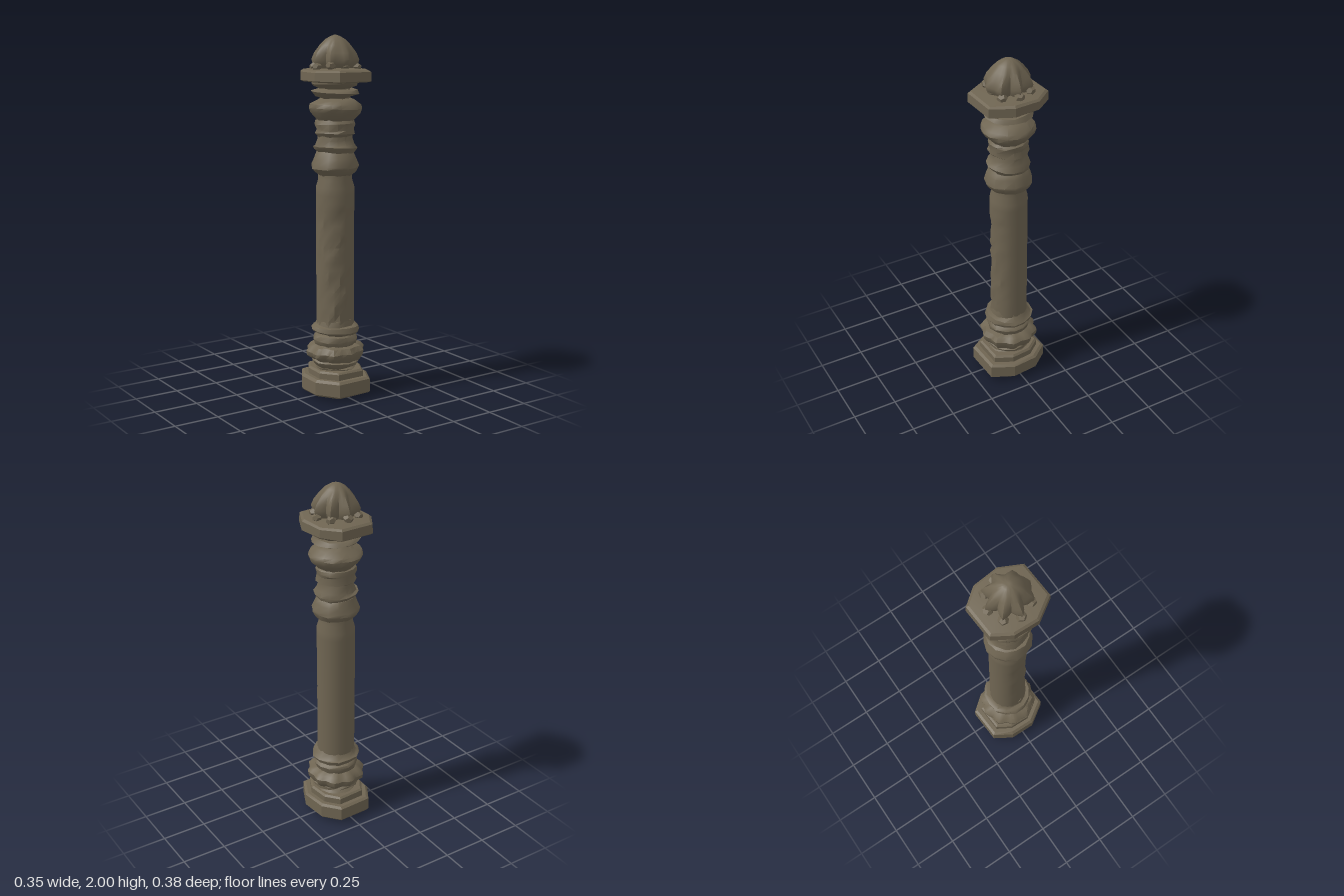
import * as THREE from 'three';
import { toCreasedNormals } from 'three/addons/utils/BufferGeometryUtils.js';

const stone = new THREE.MeshStandardMaterial({ color: 0x6f6552 });
stone.name = 'weathered stone';

// small seeded random source for the worn surfaces
let seed = 7;
const rand = () => {
  seed = (seed * 16807) % 2147483647;
  return seed / 2147483647;
};
const jitter = (amount) => (rand() - 0.5) * 2 * amount;

// skin a stack of closed rings; point(row, column) returns [x, y, z]
function loft(name, rows, cols, point, crease = 0.7) {
  const pos = [], index = [];
  for (let i = 0; i < rows; i++) for (let j = 0; j < cols; j++) pos.push(...point(i, j));
  for (let i = 0; i < rows - 1; i++) {
    for (let j = 0; j < cols; j++) {
      const a = i * cols + j, b = i * cols + (j + 1) % cols;
      index.push(a, b, b + cols, a, b + cols, a + cols);
    }
  }
  // end caps as fans about a centre point
  for (const [row, flip] of [[0, true], [rows - 1, false]]) {
    const centre = pos.length / 3, sum = [0, 0, 0];
    for (let j = 0; j < cols; j++) for (let k = 0; k < 3; k++) sum[k] += pos[(row * cols + j) * 3 + k] / cols;
    pos.push(...sum);
    for (let j = 0; j < cols; j++) {
      const a = row * cols + j, b = row * cols + (j + 1) % cols;
      index.push(centre, flip ? b : a, flip ? a : b);
    }
  }
  const geo = new THREE.BufferGeometry();
  geo.setAttribute('position', new THREE.Float32BufferAttribute(pos, 3));
  geo.setIndex(index);
  const mesh = new THREE.Mesh(toCreasedNormals(geo, crease), stone);
  mesh.name = name;
  return mesh;
}

// turned moulding from a [y, radius] profile, slightly tilted and chipped
function turned(name, profile, { cols = 14, wear = 0.004, tilt = 0.005, lobes = 0, depth = 0 } = {}) {
  const phase = profile.map(() => rand() * Math.PI * 2);
  return loft(name, profile.length, cols, (i, j) => {
    const a = (j / cols) * Math.PI * 2;
    const [y, r] = profile[i];
    const rr = r * (1 - depth * (0.5 - 0.5 * Math.cos(a * lobes))) + jitter(wear);
    return [Math.sin(a) * rr, y + tilt * Math.sin(a + phase[i]) + jitter(wear * 0.5), Math.cos(a) * rr];
  });
}

// uneven eight-sided slab outline as [x, z], running front to the +x side
const OUTLINE = [[-0.095, 0.188], [0.115, 0.178], [0.175, 0.055], [0.16, -0.095],
  [0.085, -0.19], [-0.11, -0.18], [-0.172, -0.078], [-0.175, 0.067]];
const slab = (name, rings) => loft(name, rings.length, 8, (i, j) => {
  const [y, s] = rings[i];
  return [OUTLINE[j][0] * s, y + jitter(0.003), OUTLINE[j][1] * s];
}, 0.3);

export function createModel() {
  seed = 7;
  const group = new THREE.Group();
  group.name = 'stonePillar';

  // foot
  group.add(slab('baseSlab', [[0.003, 0.3], [0.018, 0.94], [0.03, 1], [0.1, 1], [0.112, 0.92]]));
  group.add(slab('baseStep', [[0.1, 0.8], [0.145, 0.8], [0.155, 0.74]]));
  group.add(turned('baseNeck', [[0.14, 0.11], [0.155, 0.12], [0.165, 0.105], [0.18, 0.127], [0.195, 0.13], [0.21, 0.11]],
    { wear: 0.007 }));
  group.add(turned('petalRing', [[0.19, 0.1], [0.205, 0.14], [0.23, 0.163], [0.255, 0.168], [0.28, 0.148], [0.3, 0.1]],
    { cols: 40, lobes: 10, depth: 0.1, wear: 0.002 }));
  group.add(turned('lowerRing', [[0.28, 0.11], [0.295, 0.12], [0.32, 0.127], [0.338, 0.118], [0.35, 0.095], [0.36, 0.1]]));
  group.add(turned('shaftCollar', [[0.345, 0.09], [0.36, 0.13], [0.375, 0.138], [0.39, 0.128], [0.405, 0.108], [0.43, 0.1]],
    { tilt: 0.007 }));

  // shaft, worn on the front and the right-hand side
  const rows = 22, cols = 20;
  group.add(loft('shaft', rows, cols, (i, j) => {
    const a = (j / cols) * Math.PI * 2, t = i / (rows - 1);
    const worn = Math.max(0, Math.cos(a + 0.5)) * (t < 0.75 ? 1 : 0.3);
    const r = 0.106 - (t > 0.95 ? 0.012 : 0) - worn * rand() * 0.014;
    return [Math.sin(a) * r, 0.39 + t * 0.87, Math.cos(a) * r];
  }, 0.6));

  // stacked upper mouldings
  group.add(turned('upperBell', [[1.245, 0.09], [1.26, 0.115], [1.285, 0.131], [1.3, 0.129], [1.335, 0.116], [1.365, 0.104], [1.38, 0.09]]));
  group.add(turned('upperRing', [[1.36, 0.09], [1.38, 0.113], [1.395, 0.121], [1.41, 0.108], [1.44, 0.097], [1.475, 0.094]],
    { tilt: 0.008 }));
  group.add(turned('upperBand', [[1.455, 0.09], [1.47, 0.111], [1.495, 0.105], [1.52, 0.112], [1.535, 0.108], [1.555, 0.09]],
    { tilt: 0.006 }));
  group.add(turned('cushion', [[1.53, 0.088], [1.555, 0.108], [1.585, 0.138], [1.61, 0.147], [1.63, 0.138], [1.65, 0.108], [1.665, 0.075]],
    { cols: 18, tilt: 0.004 }));
  group.add(turned('capNeck', [[1.65, 0.08], [1.69, 0.075], [1.74, 0.08]]));
  group.add(turned('neckDisc', [[1.665, 0.07], [1.68, 0.11], [1.693, 0.133], [1.706, 0.12], [1.715, 0.075]], { tilt: 0.007, wear: 0.006 }));
  group.add(turned('capUnderside', [[1.712, 0.075], [1.73, 0.115], [1.742, 0.125], [1.765, 0.125]], { wear: 0.006 }));
  group.add(slab('capSlab', [[1.752, 0.95], [1.76, 1], [1.805, 0.99], [1.815, 0.92], [1.825, 0.5]]));

  // ribbed bud: deep grooves between eight ribs, fuller at the front
  const bud = [[1.815, 0.098], [1.845, 0.125], [1.87, 0.132], [1.905, 0.117], [1.945, 0.087], [1.975, 0.058], [1.993, 0.028], [2, 0.008]];
  group.add(loft('finialBud', bud.length, 32, (i, j) => {
    const a = (j / 32) * Math.PI * 2, [y, r] = bud[i];
    const valley = 0.5 - 0.5 * Math.cos(a * 8);
    const groove = (Math.cos(a) > 0.75 ? 0.12 : 0.32) * Math.min(1, (2 - y) * 9);
    const rr = r * (1 - groove * valley);
    return [Math.sin(a) * rr, y, Math.cos(a) * rr];
  }, 0.8));

  // broken leaf tips around the foot of the bud
  for (let k = 0; k < 8; k++) {
    const a = (k / 8) * Math.PI * 2;
    const leaf = new THREE.Mesh(new THREE.DodecahedronGeometry(0.026), stone);
    leaf.name = 'leafTip' + (k + 1);
    const r = k === 0 ? 0.095 : 0.116;
    leaf.position.set(Math.sin(a) * r, 1.836 + jitter(0.006), Math.cos(a) * r);
    leaf.rotation.set(jitter(0.3), a, jitter(0.3));
    leaf.scale.set(1.1, 0.9, 1.1);
    group.add(leaf);
  }
  return group;
}
